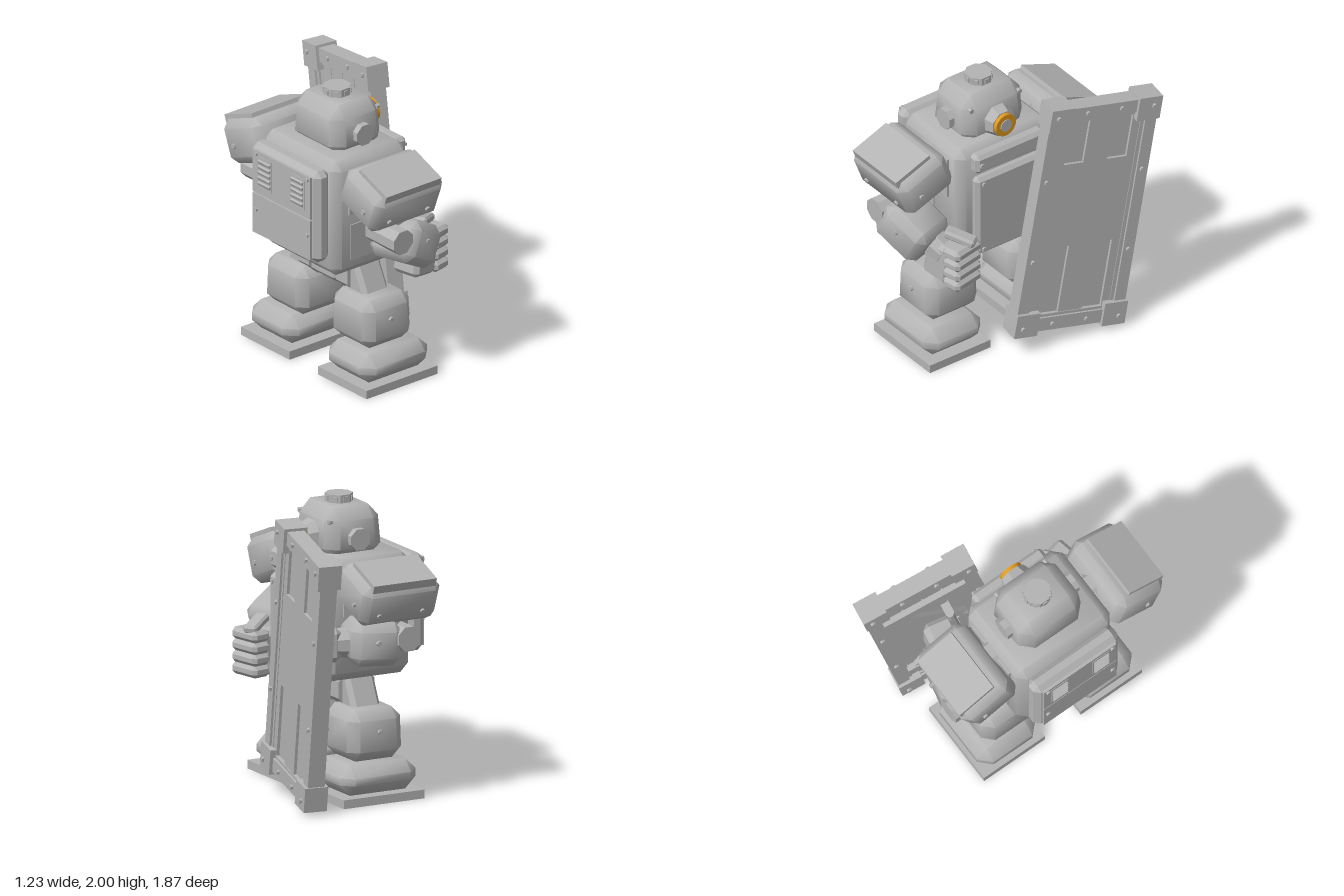
import * as THREE from 'three';
import { toCreasedNormals } from 'three/addons/utils/BufferGeometryUtils.js';
import { ConvexGeometry } from 'three/addons/geometries/ConvexGeometry.js';

const steel = new THREE.MeshStandardMaterial({ color: 0xb4b4b4 });
steel.name = 'steel grey';
const amber = new THREE.MeshStandardMaterial({ color: 0xe0991c });
amber.name = 'amber';

function add(parent, name, geo, [x, y, z], rot = [0, 0, 0], mat = steel) {
  const m = new THREE.Mesh(geo, mat);
  m.name = name;
  m.position.set(x, y, z);
  m.rotation.set(rot[0], rot[1], rot[2], 'YXZ');
  parent.add(m);
  return m;
}

function group(parent, name, [x, y, z], rot = [0, 0, 0]) {
  const g = new THREE.Group();
  g.name = name;
  g.position.set(x, y, z);
  g.rotation.set(rot[0], rot[1], rot[2], 'YXZ');
  parent.add(g);
  return g;
}

const box = (x, y, z) => new THREE.BoxGeometry(x, y, z);

// Box with chamfered edges and corners; topScale narrows the upper half
function chamfer(sx, sy, sz, c, crease = 0.5, topScale = 1) {
  const pts = [];
  for (const i of [-1, 1]) for (const j of [-1, 1]) for (const k of [-1, 1]) {
    for (let a = 0; a < 3; a++) {
      const d = [0, 1, 2].map(n => (n === a ? 0 : c));
      const f = j > 0 ? topScale : 1;
      pts.push(new THREE.Vector3(i * (sx / 2 - d[0]) * f, j * (sy / 2 - d[1]), k * (sz / 2 - d[2]) * f));
    }
  }
  return toCreasedNormals(new ConvexGeometry(pts), crease);
}

// Faceted cylinder along a chosen axis, r2 is the radius at the positive end
function drum(axis, r1, r2, h, sides = 8) {
  const g = new THREE.CylinderGeometry(r2, r1, h, sides);
  g.rotateY(Math.PI / sides);
  if (axis === 'x') g.rotateZ(-Math.PI / 2);
  if (axis === 'z') g.rotateX(Math.PI / 2);
  return toCreasedNormals(g, 0.5);
}

const rivet = (parent, axis, p) => add(parent, 'rivet', drum(axis, 0.018, 0.018, 0.03, 6), p);

function buildTorso(g) {
  add(g, 'torso', chamfer(0.65, 0.84, 0.78, 0.06, 0.9), [-0.13, 1.22, 0]);
  add(g, 'upperChestPanel', chamfer(0.1, 0.14, 0.58, 0.025), [0.21, 1.54, 0]);
  add(g, 'lowerChestPanel', chamfer(0.08, 0.62, 0.58, 0.025), [0.225, 1.125, 0]);
  add(g, 'pelvis', chamfer(0.28, 0.22, 0.3, 0.04), [-0.1, 0.72, 0]);
  for (const s of [-1, 1]) {
    rivet(g, 'x', [0.262, 1.385, s * 0.235]);
    rivet(g, 'x', [0.262, 0.86, s * 0.235]);
    rivet(g, 'x', [0.26, 1.54, s * 0.25]);
    add(g, 'sidePanel', box(0.24, 0.26, 0.016), [-0.2, 1.04, s * 0.39]);
    add(g, 'shoulderBand', box(0.42, 0.3, 0.03), [-0.13, 1.4, s * 0.39]);
    add(g, 'shoulderJoint', drum('z', 0.13, 0.13, 0.2), [-0.14, 1.45, s * 0.45]);
  }
  // Backpack with two covers and louvred vents
  add(g, 'backpack', chamfer(0.13, 0.67, 0.7, 0.04), [-0.515, 1.265, 0]);
  add(g, 'upperBackCover', box(0.02, 0.31, 0.6), [-0.585, 1.41, 0]);
  add(g, 'lowerBackCover', box(0.02, 0.29, 0.6), [-0.585, 1.1, 0]);
  for (const s of [-1, 1]) {
    add(g, 'ventFrame', box(0.01, 0.23, 0.14), [-0.594, 1.42, s * 0.17]);
    for (let i = 0; i < 5; i++) {
      add(g, 'ventSlat', box(0.02, 0.022, 0.12), [-0.6, 1.34 + i * 0.04, s * 0.17], [0, 0, 0.4]);
    }
    for (const y of [1.54, 1.13]) rivet(g, 'x', [-0.594, y, s * 0.265]);
  }
}

function buildHead(g) {
  add(g, 'head', chamfer(0.44, 0.36, 0.52, 0.085, 0.9, 0.94), [-0.11, 1.765, 0]);
  add(g, 'topKnob', drum('y', 0.095, 0.095, 0.08), [-0.11, 1.96, 0]);
  for (let i = 0; i < 8; i++) {
    const a = (i * Math.PI) / 4;
    add(g, 'knobLug', box(0.03, 0.035, 0.02), [-0.11 + 0.086 * Math.sin(a), 1.97, 0.086 * Math.cos(a)], [0, a, 0]);
  }
  for (const s of [-1, 1]) {
    add(g, 'earCap', drum('z', 0.078, 0.078, 0.06), [-0.11, 1.735, s * 0.265]);
    rivet(g, 'x', [0.07, 1.86, s * 0.2]);
  }
  add(g, 'eyeSocket', drum('x', 0.13, 0.095, 0.1), [0.12, 1.73, 0]);
  add(g, 'eyeRing', drum('x', 0.083, 0.083, 0.03, 20), [0.182, 1.73, 0], [0, 0, 0], amber);
  add(g, 'eyeLens', drum('x', 0.046, 0.046, 0.008, 12), [0.199, 1.73, 0]);
}

function buildLeg(g, s) {
  const leg = group(g, s > 0 ? 'frontSideLeg' : 'backSideLeg', [0, 0, 0]);
  add(leg, 'footSole', box(0.62, 0.06, 0.505), [-0.09, 0.03, s * 0.4]);
  add(leg, 'foot', chamfer(0.585, 0.21, 0.48, 0.08, 0.9), [-0.09, 0.165, s * 0.4]);
  add(leg, 'shin', chamfer(0.42, 0.35, 0.43, 0.07, 0.9, 0.97), [-0.1, 0.445, s * 0.345]);
  add(leg, 'thigh', chamfer(0.22, 0.32, 0.2, 0.03), [-0.1, 0.69, s * 0.26], [-s * 0.45, 0, 0]);
  add(leg, 'hipJoint', drum('z', 0.15, 0.15, 0.12), [-0.1, 0.71, s * 0.2]);
  rivet(leg, 'z', [-0.11, 0.47, s * 0.56]);
}

function buildShoulder(g, s) {
  const pad = group(g, 'shoulder', [-0.145, 1.45, s * 0.605], [s * 0.37, 0, 0]);
  add(pad, 'shoulderBlock', chamfer(0.59, 0.31, 0.41, 0.055, 0.9), [0, 0, 0]);
  add(pad, 'shoulderPlate', box(0.48, 0.06, 0.3), [0, 0.155, s * 0.035]);
  for (const x of [-0.165, 0.165]) rivet(pad, 'z', [x, -0.05, s * 0.205]);
  for (const x of [-0.295, 0.295]) rivet(pad, 'x', [x, -0.02, s * 0.08]);
  add(g, 'upperArm', drum('y', 0.11, 0.11, 0.35), [-0.13, 1.23, s * 0.58]);
  add(g, 'elbow', drum('z', 0.09, 0.09, 0.3), [-0.2, 1.15, s * 0.65]);
}

function buildFistArm(g) {
  add(g, 'forearm', chamfer(0.38, 0.3, 0.36, 0.06, 0.9), [-0.03, 1.05, 0.615], [0, 0.3, -0.5]);
  rivet(g, 'z', [0.02, 1.09, 0.785]);
  add(g, 'wrist', drum('x', 0.11, 0.09, 0.16), [0.14, 0.95, 0.53], [0, 0.3, -0.5]);
  const hand = group(g, 'hand', [0.22, 0.87, 0.47], [0, 0.2, 0]);
  add(hand, 'palm', chamfer(0.22, 0.3, 0.22, 0.03), [-0.05, -0.01, 0], [0, 0, -0.15]);
  for (let i = 0; i < 4; i++) {
    add(hand, 'finger', chamfer(0.15, 0.082, 0.25, 0.025), [0.09, 0.11 - i * 0.08, 0]);
  }
  add(hand, 'thumb', chamfer(0.22, 0.06, 0.1, 0.015), [0.06, 0.18, -0.02], [0, 0.4, -0.25]);
}

function buildShieldArm(g) {
  add(g, 'forearm', chamfer(0.36, 0.3, 0.34, 0.06, 0.9), [-0.02, 1.12, -0.6], [0, -0.2, 0.05]);
  rivet(g, 'z', [0.02, 1.14, -0.775]);
  add(g, 'wrist', drum('x', 0.11, 0.09, 0.16), [0.19, 1.12, -0.55], [0, -0.2, 0]);
  add(g, 'hand', chamfer(0.17, 0.24, 0.22, 0.04), [0.28, 1.12, -0.51], [0, -0.2, 0]);
}

// Rectangle outline, wound either way, in shield face coordinates
function rect(Kind, x0, y0, x1, y1) {
  return new Kind().moveTo(x0, y0).lineTo(x1, y0).lineTo(x1, y1).lineTo(x0, y1).closePath();
}

function buildShield(root) {
  const g = group(root, 'shield', [0.44, 0.975, -0.37], [-0.166, -0.157, 0]);
  add(g, 'shieldCore', box(0.04, 1.6, 0.68), [0, 0, 0]);
  // Slotted front cover
  const face = rect(THREE.Shape, -0.3, -0.755, 0.3, 0.755);
  for (const x of [-0.165, 0.165]) {
    face.holes.push(rect(THREE.Path, x - 0.075, 0.42, x + 0.075, 0.75));
    face.holes.push(rect(THREE.Path, x - 0.075, -0.75, x + 0.075, -0.235));
  }
  const cover = new THREE.ExtrudeGeometry(face, { depth: 0.02, bevelEnabled: false });
  cover.rotateY(Math.PI / 2);
  add(g, 'frontCover', cover, [0.02, 0, 0]);
  for (const s of [-1, 1]) {
    // Frame beams, corner caps and rivets
    add(g, 'sideBeam', box(0.12, 1.6, 0.085), [0, 0, s * 0.37]);
    add(g, 'sideLip', box(0.09, 1.52, 0.03), [0, 0, s * 0.315]);
    add(g, 'endBeam', box(0.12, 0.1, 0.7), [0, s * 0.82, 0]);
    add(g, 'endLip', box(0.09, 0.02, 0.6), [0, s * 0.76, 0]);
    for (const t of [-1, 1]) {
      add(g, 'cornerCap', box(0.165, 0.175, 0.175), [0, s * 0.802, t * 0.335]);
      for (const f of [-1, 1]) {
        rivet(g, 'x', [f * 0.085, s * 0.823, t * 0.365]);
        rivet(g, 'x', [f * 0.062, s * 0.823, t * 0.13]);
        rivet(g, 'x', [f * 0.062, s * 0.313, t * 0.365]);
      }
    }
    // Braces on the inner side
    add(g, 'crossBrace', box(0.05, 0.09, 0.62), [-0.05, s * 0.55, 0]);
    add(g, 'diagonalBrace', box(0.04, 0.7, 0.07), [-0.045, s * 0.28, -0.02], [-s * 0.7, 0, 0]);
    add(g, 'handleMount', box(0.1, 0.05, 0.06), [-0.07, 0.14 + s * 0.14, 0.12]);
  }
  for (let i = 0; i < 4; i++) {
    add(g, 'backPlank', box(0.015, 1.5, 0.14), [-0.025, 0, -0.225 + i * 0.15]);
  }
  add(g, 'handle', drum('y', 0.028, 0.028, 0.36), [-0.12, 0.14, 0.12]);
}

export function createModel() {
  const model = new THREE.Group();
  model.name = 'shieldRobot';
  const body = group(model, 'body', [0, 0, 0.09]);
  buildTorso(body);
  buildHead(body);
  for (const s of [-1, 1]) {
    buildLeg(body, s);
    buildShoulder(body, s);
  }
  buildFistArm(body);
  buildShieldArm(body);
  buildShield(model);
  return model;
}
